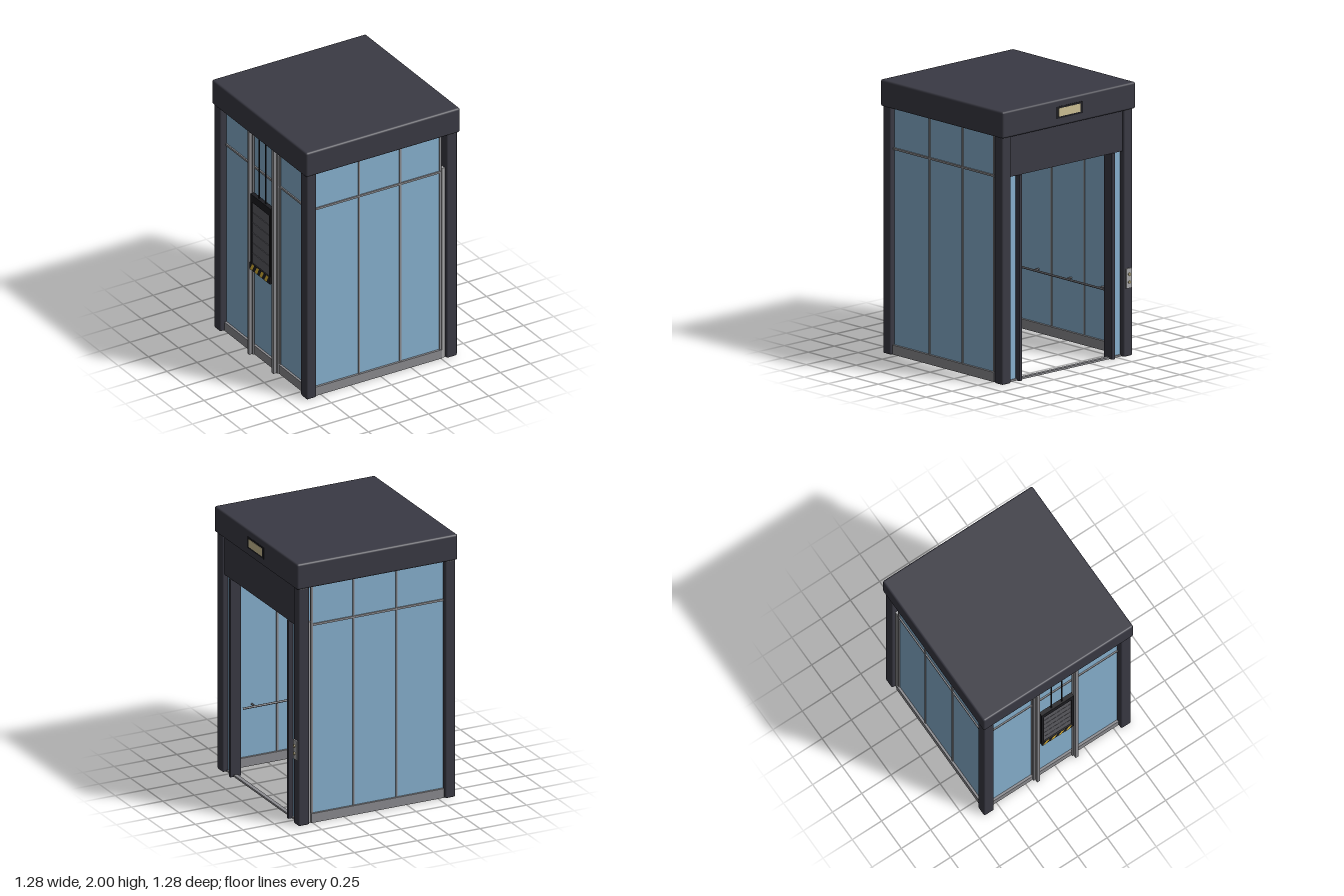
import * as THREE from 'three';
import { RoundedBoxGeometry } from 'three/addons/geometries/RoundedBoxGeometry.js';

const mat = (name, color) => {
  const m = new THREE.MeshStandardMaterial({ color });
  m.name = name;
  return m;
};

export function createModel() {
  const model = new THREE.Group();
  model.name = 'liftCabin';

  const frame = mat('charcoal frame', 0x3a3a44);
  const metal = mat('brushed metal', 0x8c8c90);
  const glass = mat('blue glass', 0x88b2d0);
  const cream = mat('cream light', 0xcfc196);
  const black = mat('black', 0x1c1c20);
  const yellow = mat('warning yellow', 0xe0b83a);
  const slab = mat('weight grey', 0x5c5c62);
  const rail = mat('handrail grey', 0x66666b);
  const panel = mat('light metal', 0xa8a8aa);

  // Box given by its limits on each axis, optionally with rounded edges
  const box = (name, material, [x0, x1], [y0, y1], [z0, z1], radius = 0, parent = model) => {
    const size = [x1 - x0, y1 - y0, z1 - z0];
    const geo = radius ? new RoundedBoxGeometry(...size, 2, radius) : new THREE.BoxGeometry(...size);
    const mesh = new THREE.Mesh(geo, material);
    mesh.position.set((x0 + x1) / 2, (y0 + y1) / 2, (z0 + z1) / 2);
    mesh.name = name;
    parent.add(mesh);
    return mesh;
  };

  // Straight round bar between two points
  const bar = (name, material, a, b, r, parent = model) => {
    const curve = new THREE.LineCurve3(new THREE.Vector3(...a), new THREE.Vector3(...b));
    const mesh = new THREE.Mesh(new THREE.TubeGeometry(curve, 1, r, 10), material);
    mesh.name = name;
    parent.add(mesh);
  };

  // Limits of a span mirrored to either side
  const side = (s, a, b) => (s > 0 ? [a, b] : [-b, -a]);

  // Roof and corner posts
  box('roof', frame, [-0.64, 0.64], [1.805, 2], [-0.64, 0.64], 0.015);
  for (const s of [-1, 1]) {
    box('doorPost', frame, [0.535, 0.622], [0, 1.81], side(s, 0.543, 0.628), 0.012);
    box('rearPost', frame, [-0.628, -0.547], [0, 1.81], side(s, 0.543, 0.628), 0.012);
  }

  // Glazed side walls
  for (const s of [-1, 1]) {
    const wall = new THREE.Group();
    wall.name = 'sideWall';
    model.add(wall);
    box('sideGlass', glass, [-0.56, 0.5], [0.07, 1.806], side(s, 0.582, 0.59), 0, wall);
    box('sidePlinth', metal, [-0.56, 0.508], [0, 0.07], side(s, 0.565, 0.607), 0, wall);
    box('sideTransom', metal, [-0.56, 0.506], [1.495, 1.51], side(s, 0.575, 0.6), 0, wall);
    for (const x of [-0.175, 0.168, 0.5]) {
      box('sideMullion', metal, [x - 0.007, x + 0.007], [0.07, 1.806], side(s, 0.577, 0.597), 0, wall);
    }
    box('edgeStrip', panel, [0.512, 0.535], [0, 1.53], side(s, 0.565, 0.6), 0, wall);
  }

  // Glazed rear wall
  box('rearGlass', glass, [-0.574, -0.566], [0.07, 1.806], [-0.56, 0.56]);
  box('rearPlinth', metal, [-0.592, -0.55], [0, 0.07], [-0.56, 0.56]);
  box('rearTransom', metal, [-0.584, -0.556], [1.495, 1.51], [-0.56, 0.56]);
  for (const z of [-0.185, 0.185]) {
    box('rearMullion', metal, [-0.581, -0.559], [0.07, 1.806], [z - 0.008, z + 0.008]);
  }

  // Doorway: header, jambs, side lights and sill
  box('doorHeader', frame, [0.54, 0.607], [1.505, 1.808], [-0.546, 0.546]);
  for (const s of [-1, 1]) {
    box('doorJamb', frame, [0.532, 0.616], [0, 1.506], side(s, 0.434, 0.46));
    box('sideLight', glass, [0.571, 0.579], [0.005, 1.506], side(s, 0.458, 0.55));
  }
  box('doorSill', metal, [0.56, 0.59], [0, 0.014], [-0.546, 0.546]);

  // Handrails on three walls, with brackets
  const railY = 0.462;
  for (const s of [-1, 1]) {
    bar('sideHandrail', rail, [-0.52, railY, s * 0.53], [0.47, railY, s * 0.53], 0.008);
    for (const x of [-0.31, 0.03, 0.37]) {
      bar('handrailBracket', rail, [x, railY, s * 0.53], [x, railY, s * 0.585], 0.007);
    }
  }
  bar('rearHandrail', rail, [-0.52, railY, -0.53], [-0.52, railY, 0.53], 0.008);
  for (const z of [-0.33, 0, 0.33]) {
    bar('handrailBracket', rail, [-0.52, railY, z], [-0.568, railY, z], 0.007);
  }

  // Ceiling light with slats
  box('ceilingLight', cream, [-0.36, 0.36], [1.797, 1.806], [-0.36, 0.36]);
  for (let i = 0; i < 9; i++) {
    const x = -0.32 + i * 0.08;
    box('ceilingSlat', slab, [x - 0.007, x + 0.007], [1.79, 1.798], [-0.36, 0.36]);
  }

  // Floor display above the door
  box('displayBezel', black, [0.63, 0.642], [1.862, 1.95], [-0.128, 0.128]);
  box('displayScreen', cream, [0.64, 0.644], [1.876, 1.936], [-0.105, 0.105]);

  // Call panel on the door post
  box('callPanel', panel, [0.618, 0.632], [0.5, 0.645], [-0.611, -0.557]);
  for (const y of [0.545, 0.602]) {
    const button = new THREE.Mesh(new THREE.CylinderGeometry(0.011, 0.011, 0.014, 16), cream);
    button.rotation.z = -Math.PI / 2;
    button.position.set(0.633, y, -0.584);
    button.name = 'callButton';
    model.add(button);
  }

  // Guide rails: a web on a flange
  for (const s of [-1, 1]) {
    box('railFlange', metal, [-0.603, -0.592], [0, 1.806], side(s, 0.14, 0.19));
    box('railWeb', metal, [-0.628, -0.602], [0, 1.806], side(s, 0.152, 0.176));
  }

  // Counterweight with stacked slabs, cables and warning strip
  const weight = new THREE.Group();
  weight.name = 'counterweight';
  model.add(weight);
  for (const s of [-1, 1]) {
    box('weightUpright', black, [-0.627, -0.595], [0.74, 1.3], side(s, 0.117, 0.137), 0, weight);
    bar('cable', black, [-0.61, 1.28, s * 0.045], [-0.61, 1.81, s * 0.045], 0.006, weight);
  }
  box('weightHead', black, [-0.627, -0.595], [1.25, 1.31], [-0.137, 0.137], 0, weight);
  for (let i = 0; i < 6; i++) {
    const y = 0.76 + i * 0.082;
    box('weightSlab', slab, [-0.622, -0.597], [y, y + 0.077], [-0.118, 0.118], 0, weight);
  }
  box('weightCore', black, [-0.612, -0.598], [0.75, 1.26], [-0.118, 0.118], 0, weight);
  box('warningStrip', black, [-0.633, -0.595], [0.705, 0.76], [-0.137, 0.137], 0, weight);
  for (let i = 0; i < 4; i++) {
    const z = -0.132 + i * 0.064;
    const stripe = new THREE.Shape([
      new THREE.Vector2(z, 0.705), new THREE.Vector2(z + 0.03, 0.705),
      new THREE.Vector2(z + 0.06, 0.76), new THREE.Vector2(z + 0.03, 0.76),
    ]);
    const mesh = new THREE.Mesh(new THREE.ShapeGeometry(stripe), yellow);
    mesh.rotation.y = -Math.PI / 2;
    mesh.position.x = -0.6345;
    mesh.name = 'warningStripe';
    weight.add(mesh);
  }

  return model;
}
